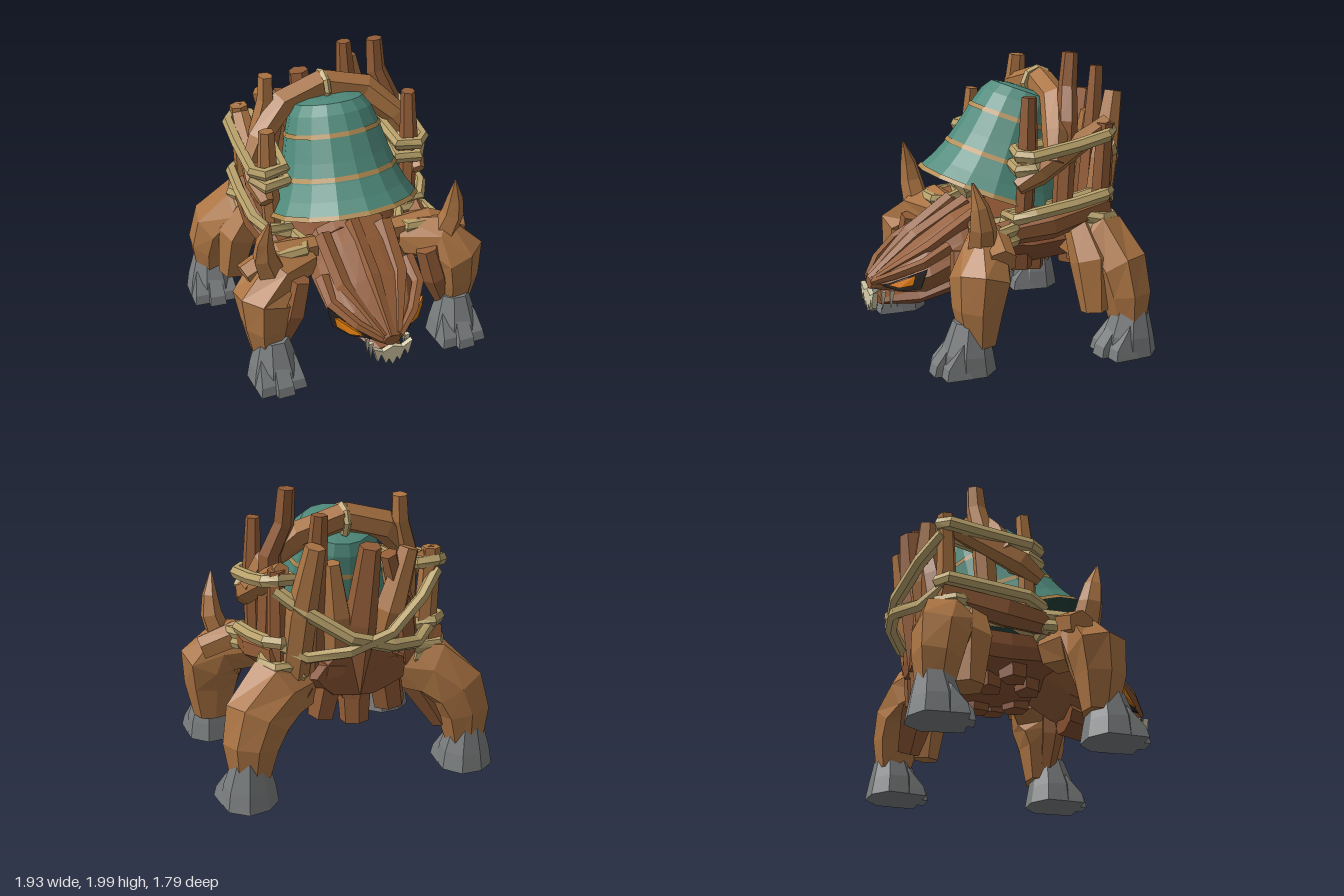
import * as THREE from 'three';
import { ConvexGeometry } from 'three/addons/geometries/ConvexGeometry.js';

const WOOD = 0xab7443, DARK = 0x855030, BARK = 0x935d37, ROPE = 0xbaa36c;
const STONE = 0x7a7d7e, BELL = 0x4f8a7b, BAND = 0xb08a50, BONE = 0xd6ccaa;
const V = (x, y, z) => new THREE.Vector3(x, y, z);

function add(parent, name, geo, color, side = THREE.FrontSide) {
  const mesh = new THREE.Mesh(geo, new THREE.MeshStandardMaterial({ color, flatShading: true, side }));
  mesh.name = name;
  parent.add(mesh);
  return mesh;
}

// Skin between cross-section rings, capped unless the path is closed
function loft(rings, closed = false) {
  const pos = [], n = rings[0].length, m = rings.length;
  const tri = (a, b, c) => [a, b, c].forEach(p => pos.push(p.x, p.y, p.z));
  for (let i = 0; i < (closed ? m : m - 1); i++) {
    const A = rings[i], B = rings[(i + 1) % m];
    for (let j = 0; j < n; j++) {
      const k = (j + 1) % n;
      tri(A[j], A[k], B[k]);
      tri(A[j], B[k], B[j]);
    }
  }
  if (!closed) for (let j = 1; j < n - 1; j++) {
    tri(rings[0][0], rings[0][j + 1], rings[0][j]);
    tri(rings[m - 1][0], rings[m - 1][j], rings[m - 1][j + 1]);
  }
  const g = new THREE.BufferGeometry();
  g.setAttribute('position', new THREE.Float32BufferAttribute(pos, 3));
  g.computeVertexNormals();
  return g;
}

// Faceted beam along points [x, y, z, radius]
function limb(pts, sides = 6, jag = 0.1, closed = false) {
  const P = pts.map(p => V(p[0], p[1], p[2])), m = P.length;
  const d = P[m - 1].clone().sub(P[0]);
  const a = [Math.abs(d.x), Math.abs(d.y), Math.abs(d.z)];
  const k = closed ? 1 : a.indexOf(Math.min(...a));
  const ref = V(+(k === 0), +(k === 1), +(k === 2));
  const rings = P.map((p, i) => {
    const prev = closed ? P[(i + m - 1) % m] : P[Math.max(i - 1, 0)];
    const next = closed ? P[(i + 1) % m] : P[Math.min(i + 1, m - 1)];
    const t = next.clone().sub(prev).normalize();
    const u = ref.clone().addScaledVector(t, -ref.dot(t)).normalize();
    const v = t.clone().cross(u);
    return Array.from({ length: sides }, (_, j) => {
      const ang = (j + 0.5) / sides * Math.PI * 2;
      const r = pts[i][3] * (1 + jag * Math.sin(j * 2.4 + pts[0][0] * 9));
      return p.clone().addScaledVector(u, r * Math.cos(ang)).addScaledVector(v, r * Math.sin(ang));
    });
  });
  return loft(rings, closed);
}

// Ridged hull along z from sections [z, bottom, top, halfWidth]
function hull(sections, sides, ridge) {
  return loft(sections.map(([z, lo, hi, w]) => Array.from({ length: sides }, (_, j) => {
    const a = j / sides * Math.PI * 2, f = j % 2 ? 1 - ridge : 1;
    return V(w * f * Math.cos(a), (lo + hi) / 2 + (hi - lo) / 2 * f * Math.sin(a), z);
  })));
}

const rope = (pts, closed) => limb(pts.map(p => [...p, 0.043]), 6, 0.1, closed);
const flip = (pts, s) => pts.map(([x, ...rest]) => [x * s, ...rest]);

// Stone foot: a tapered block with three broad sloping toes
function foot(x, z, yaw, s) {
  const g = new THREE.Group();
  g.name = 'foot';
  add(g, 'footBlock', limb([[0, 0, 0.01, 0.19], [0, 0.13, 0.01, 0.17], [0, 0.33, -0.01, 0.11]], 8, 0.04), STONE);
  for (const i of [-1, 0, 1]) {
    const tx = i * 0.105, tz = 0.18 - Math.abs(i) * 0.045;
    const wedge = [[-0.06, 0, 0.07], [0.06, 0, 0.07], [-0.055, 0.07, 0.055], [0.055, 0.07, 0.055], [-0.045, 0.19, -0.04],
      [0.045, 0.19, -0.04], [0, 0.31, -0.14], [-0.07, 0, -0.1], [0.07, 0, -0.1]];
    add(g, 'toe', new ConvexGeometry(wedge.map(([a, b, c]) => V(tx * (1 - b) + a, b, tz + c))), STONE);
  }
  g.position.set(x * s, 0, z);
  g.rotation.y = yaw * s;
  return g;
}

export function createModel() {
  const root = new THREE.Group();
  root.name = 'bellCreature';

  // Body and head
  add(root, 'body', hull([[-0.72, 0.64, 0.96, 0.32], [-0.45, 0.52, 0.95, 0.46], [-0.12, 0.5, 0.93, 0.47],
    [0.2, 0.55, 0.93, 0.4]], 14, 0.07), DARK);
  add(root, 'head', hull([[0.12, 0.55, 0.97, 0.34], [0.32, 0.42, 0.89, 0.35], [0.56, 0.35, 0.74, 0.335],
    [0.7, 0.37, 0.63, 0.275], [0.89, 0.4, 0.48, 0.06]], 16, 0.06), BARK);
  add(root, 'lowerJaw', hull([[0.35, 0.32, 0.5, 0.2], [0.58, 0.27, 0.4, 0.17], [0.83, 0.29, 0.35, 0.09]], 8, 0), DARK);
  add(root, 'noseRidge', limb([[0, 0.93, 0.17, 0.06], [0, 0.72, 0.54, 0.06], [0, 0.46, 0.88, 0.03]], 5), BARK);

  // Front teeth as one zigzag plate
  const zig = [[-0.14, 0.41], [-0.11, 0.29], [-0.085, 0.35], [-0.05, 0.26], [-0.03, 0.3], [0, 0.24],
    [0.03, 0.3], [0.05, 0.26], [0.085, 0.35], [0.11, 0.29], [0.14, 0.41], [0.07, 0.37], [0, 0.4], [-0.07, 0.37]];
  const teeth = new THREE.Shape(zig.map(([x, y]) => new THREE.Vector2(x, y)));
  add(root, 'frontTeeth', new THREE.ExtrudeGeometry(teeth, { depth: 0.035, bevelEnabled: false }), BONE)
    .position.z = 0.87;

  // Bell with a dark inside, its mouth tipped forward
  const bell = new THREE.Group();
  bell.name = 'bell';
  const profile = [[0, 0.03], [0.13, 0.03], [0.235, 0.01], [0.285, -0.06], [0.33, -0.2], [0.37, -0.36],
    [0.41, -0.49], [0.46, -0.6], [0.52, -0.7]];
  const lathe = pts => new THREE.LatheGeometry(pts.map(([r, y]) => new THREE.Vector2(r, y)).reverse(), 16);
  add(bell, 'bellShell', lathe(profile), BELL);
  add(bell, 'bellInside', lathe(profile), 0x24423c, THREE.BackSide);
  for (const [r0, y0, r1, y1] of [[0.328, -0.17, 0.338, -0.2], [0.402, -0.45, 0.414, -0.48], [0.517, -0.68, 0.532, -0.71]])
    add(bell, 'bellBand', lathe([[r0, y0], [r1, y1]]), BAND, THREE.DoubleSide);
  bell.position.set(0, 1.67, -0.25);
  bell.rotation.x = -0.35;
  root.add(bell);
  add(root, 'clapper', limb([[0, 1.6, -0.2, 0.03], [0, 1.22, 0, 0.05], [0, 1.15, 0.07, 0.125],
    [0, 1.06, 0.24, 0.115]], 8, 0), ROPE);

  for (const s of [1, -1]) {
    const part = (name, pts, color = WOOD, sides = 6) => add(root, name, limb(flip(pts, s), sides), color);

    // Eye, brow and side teeth
    const gem = (name, pts, color) =>
      add(root, name, new ConvexGeometry(pts.map(([x, y, z]) => V(x * s, y, z))), color);
    gem('eyeSocket', [[0.13, 0.45, 0.84], [0.35, 0.6, 0.59], [0.325, 0.46, 0.63], [0.23, 0.43, 0.74],
      [0.1, 0.46, 0.7], [0.2, 0.5, 0.55]], 0x25211f);
    gem('eye', [[0.175, 0.465, 0.81], [0.325, 0.56, 0.665], [0.315, 0.49, 0.68], [0.25, 0.46, 0.755],
      [0.2, 0.5, 0.65]], 0xd9780a);
    part('brow', [[0.31, 0.72, 0.42, 0.05], [0.315, 0.63, 0.6, 0.04], [0.2, 0.54, 0.77, 0.035],
      [0.06, 0.46, 0.88, 0.025]], BARK, 5);
    part('headPlank', [[0.22, 0.9, 0.2, 0.06], [0.2, 0.69, 0.52, 0.06], [0.05, 0.47, 0.87, 0.025]], BARK, 5);
    for (const z of [0.77, 0.83])
      part('sideTooth', [[0.13, 0.41, z, 0.022], [0.135, 0.29, z + 0.01, 0.003]], BONE, 4);

    // Front leg with shoulder and spike
    part('frontLeg', [[0.36, 0.74, 0.18, 0.15], [0.6, 0.73, 0.29, 0.18], [0.7, 0.6, 0.355, 0.21],
      [0.7, 0.42, 0.375, 0.175], [0.7, 0.18, 0.37, 0.12]], WOOD, 7);
    part('legPlank', [[0.47, 0.74, 0.4, 0.08], [0.53, 0.5, 0.42, 0.09], [0.62, 0.24, 0.4, 0.055]], BARK);
    part('shoulder', [[0.28, 0.83, 0.2, 0.08], [0.55, 0.83, 0.2, 0.1], [0.8, 0.74, 0.24, 0.09]]);
    part('shoulderSpike', [[0.64, 0.8, 0.32, 0.1], [0.69, 0.95, 0.34, 0.085], [0.69, 1.08, 0.36, 0.06],
      [0.665, 1.24, 0.4, 0.008]]);
    root.add(foot(0.68, 0.44, 0, s));

    // Rear leg
    part('rearLeg', [[0.32, 0.76, -0.48, 0.18], [0.56, 0.72, -0.58, 0.21], [0.71, 0.57, -0.65, 0.2],
      [0.76, 0.4, -0.68, 0.17], [0.77, 0.2, -0.69, 0.125]], WOOD, 7);
    part('thighPlank', [[0.5, 0.86, -0.42, 0.1], [0.63, 0.62, -0.46, 0.15], [0.69, 0.28, -0.47, 0.1]]);
    part('innerThigh', [[0.4, 0.75, -0.54, 0.14], [0.54, 0.54, -0.57, 0.13], [0.66, 0.31, -0.6, 0.09]], BARK);
    root.add(foot(0.78, -0.69, 0.1, s));

    // Cradle planks beside and over the bell
    part('sidePlank', [[0.52, 0.83, 0.18, 0.075], [0.56, 0.88, -0.2, 0.1], [0.54, 0.97, -0.62, 0.08]], BARK);
    part('diagonalPlank', [[0.56, 1.15, 0.04, 0.05], [0.58, 1.24, -0.1, 0.085], [0.52, 1.52, -0.63, 0.06]]);
    part('roofBeam', [[0, 1.75, -0.36, 0.095], [0.3, 1.66, -0.34, 0.1], [0.5, 1.47, -0.25, 0.085],
      [0.6, 1.3, -0.2, 0.06]]);

    // Hanging belly and rump planks
    for (const [x, z, lo] of [[0.16, 0.05, 0.5], [0.3, -0.08, 0.52], [0.2, -0.22, 0.48]])
      part('bellyPlank', [[x, 0.78, z, 0.11], [x * 1.05, lo, z, 0.09]], DARK, 5);
    part('rumpPlank', [[0.18, 0.88, -0.62, 0.12], [0.25, 0.5, -0.6, 0.1]], BARK);

    // Rope loops round each side of the cradle
    const loop = (name, pts) => add(root, name, rope(flip(pts, s), true), ROPE);
    loop('upperRope', [[0.42, 1.37, 0.01], [0.56, 1.36, 0.03], [0.625, 1.36, -0.04], [0.625, 1.41, -0.35],
      [0.615, 1.46, -0.58], [0.55, 1.48, -0.64], [0.45, 1.46, -0.62], [0.41, 1.4, -0.3]]);
    loop('wrapRope', [[0.4, 1.27, 0.01], [0.56, 1.26, 0.03], [0.61, 1.28, -0.06], [0.56, 1.3, -0.14], [0.42, 1.29, -0.12]]);
    loop('lowerRope', [[0.42, 0.93, 0.07], [0.57, 0.94, 0.05], [0.625, 0.98, -0.06], [0.625, 1.02, -0.35],
      [0.61, 1.06, -0.58], [0.54, 1.06, -0.64], [0.45, 1.04, -0.6], [0.42, 0.97, -0.3]]);
    for (const y of [0.79, 0.86])
      loop('shoulderRope', [[0.38, y, 0.27], [0.56, y - 0.01, 0.27], [0.61, y, 0.19], [0.58, y + 0.02, 0.07],
        [0.4, y + 0.02, 0.07], [0.35, y, 0.18]]);
    for (const y of [0.84, 0.92])
      loop('hipRope', [[0.42, y, -0.42], [0.58, y, -0.44], [0.63, y - 0.02, -0.54], [0.57, y - 0.03, -0.65],
        [0.42, y - 0.02, -0.67]]);
  }
  add(root, 'tailPlank', limb([[0.02, 0.85, -0.6, 0.12], [0.02, 0.43, -0.62, 0.09]], 6), BARK);

  // Upright stakes: base, optional bends, top
  const stakes = [
    [[0.51, 0.88, -0.03, 0.06], [0.52, 1.4, -0.05, 0.065], [0.51, 1.73, -0.06, 0.05]],
    [[-0.5, 0.88, -0.03, 0.06], [-0.52, 1.35, -0.05, 0.065], [-0.51, 1.63, -0.07, 0.05]],
    [[0.51, 0.88, -0.3, 0.07], [0.49, 1.55, -0.34, 0.075], [0.41, 1.76, -0.38, 0.065], [0.4, 1.99, -0.4, 0.055]],
    [[-0.5, 0.88, -0.3, 0.07], [-0.48, 1.48, -0.34, 0.075], [-0.41, 1.7, -0.37, 0.065], [-0.4, 1.87, -0.38, 0.055]],
    [[0.31, 0.82, -0.58, 0.08], [0.3, 1.4, -0.63, 0.075], [0.28, 1.87, -0.66, 0.048]],
    [[0.44, 0.82, -0.6, 0.1], [0.41, 1.25, -0.67, 0.1], [0.35, 1.7, -0.76, 0.065]],
    [[0.02, 0.62, -0.6, 0.11], [0, 1.15, -0.68, 0.115], [-0.03, 1.66, -0.75, 0.075]],
    [[-0.12, 0.72, -0.6, 0.1], [-0.21, 1.2, -0.68, 0.105], [-0.33, 1.6, -0.68, 0.065]],
    [[-0.38, 0.8, -0.58, 0.09], [-0.31, 1.2, -0.63, 0.09], [-0.19, 1.57, -0.67, 0.06]],
    [[0.13, 0.75, -0.61, 0.1], [0.16, 1.2, -0.65, 0.1], [0.2, 1.55, -0.66, 0.06]],
    [[0.54, 0.82, -0.57, 0.07], [0.55, 1.53, -0.6, 0.06]],
    [[-0.5, 0.82, -0.57, 0.08], [-0.53, 1.56, -0.6, 0.06]],
  ];
  stakes.forEach((p, i) => add(root, 'stake', limb(p, 6), i % 2 ? WOOD : BARK));

  // Ropes crossing behind the stakes and the knot on the roof
  for (const s of [1, -1])
    add(root, 'backRope', rope(flip([[0.56, 1.4, -0.62], [0.4, 1.27, -0.74], [0.14, 1.1, -0.85],
      [-0.14, 1.01, -0.84], [-0.38, 0.96, -0.72], [-0.54, 1.03, -0.6]], s)), ROPE);
  add(root, 'roofKnot', new THREE.TorusGeometry(0.1, 0.025, 5, 8).rotateY(Math.PI / 2), ROPE)
    .position.set(0, 1.73, -0.35);
  return root;
}
